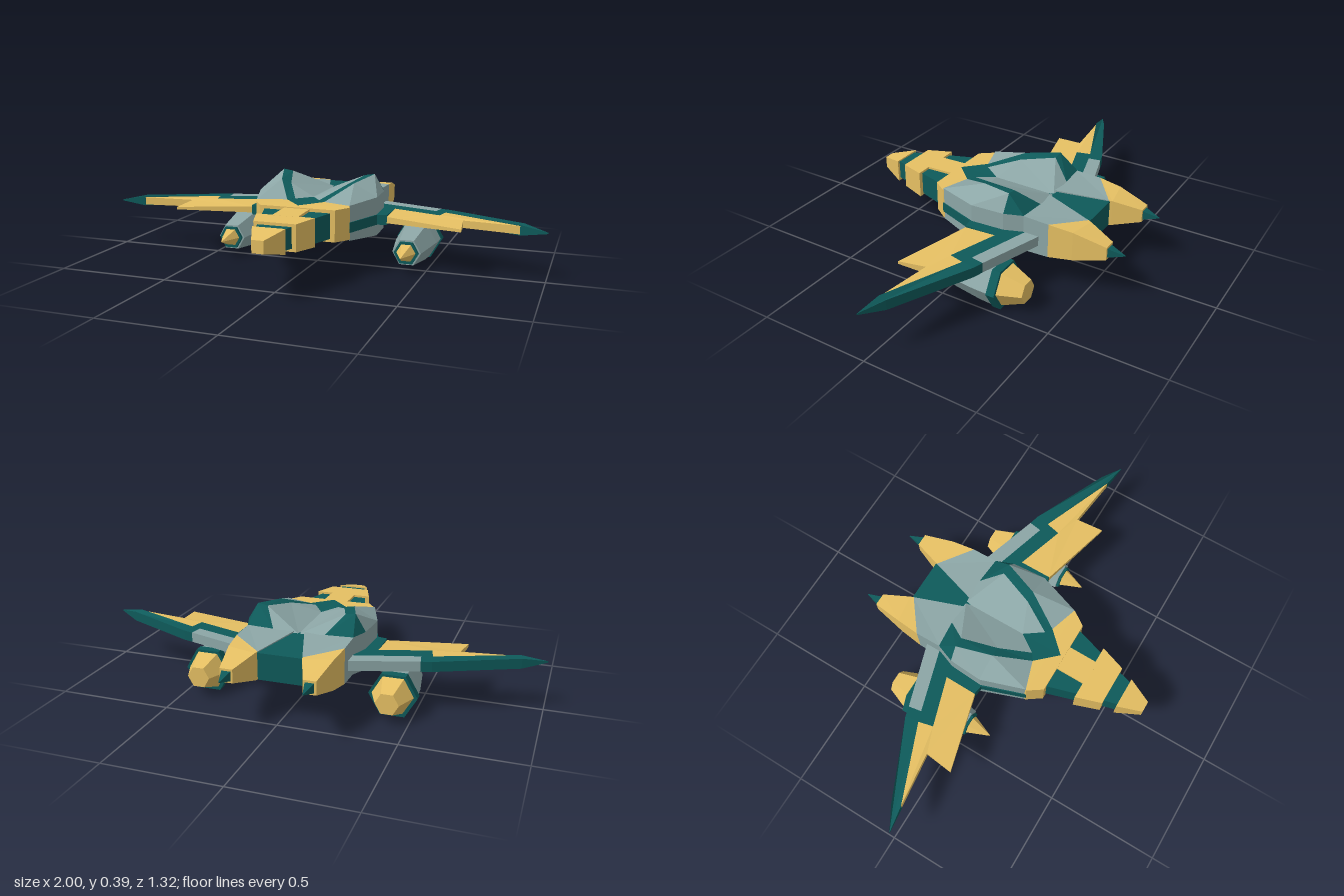
import * as THREE from 'three';

const paint = (color) => new THREE.MeshStandardMaterial({ color, flatShading: true });
const GREY = paint(0x8ca6a6), TEAL = paint(0x0e5a5a), GOLD = paint(0xe6c063);

// Flat-shaded mesh from a list of triangles (each three [x, y, z] corners)
function meshOf(name, material, tris) {
  const g = new THREE.BufferGeometry();
  g.setAttribute('position', new THREE.Float32BufferAttribute(tris.flat(2), 3));
  g.computeVertexNormals();
  const m = new THREE.Mesh(g, material);
  m.name = name;
  return m;
}

// Closed solid, turned outward by its signed volume; s = -1 mirrors it in x
function solid(name, material, tris, s = 1) {
  const v = tris.map((t) => t.map(([x, y, z]) => [x * s, y, z]));
  let vol = 0;
  for (const t of v) {
    const [a, b, c] = t.map((p) => new THREE.Vector3(...p));
    vol += a.dot(b.cross(c));
  }
  if (vol < 0) v.forEach((t) => t.reverse());
  return meshOf(name, material, v);
}

// Solid through a row of convex cross-sections with equal point counts
function loft(name, material, sections, s = 1) {
  const tris = [], n = sections[0].length;
  for (let k = 0; k + 1 < sections.length; k++) {
    const a = sections[k], b = sections[k + 1];
    for (let i = 0; i < n; i++) {
      const j = (i + 1) % n;
      tris.push([a[i], a[j], b[j]], [a[i], b[j], b[i]]);
    }
  }
  const a = sections[0], b = sections[sections.length - 1];
  for (let i = 1; i + 1 < n; i++) tris.push([a[0], a[i + 1], a[i]], [b[0], b[i], b[i + 1]]);
  return solid(name, material, tris, s);
}

// Plate from an outline of [x, z, halfThickness]
function slab(name, material, outline, s = 1, y = 0.212) {
  let pts = outline;
  if (THREE.ShapeUtils.isClockWise(pts.map(([x, z]) => new THREE.Vector2(x, z)))) pts = [...pts].reverse();
  const flat = pts.map(([x, z]) => new THREE.Vector2(x, z));
  const lo = pts.map(([x, z, h]) => [x, y - h, z]);
  const hi = pts.map(([x, z, h]) => [x, y + h, z]);
  const tris = [];
  for (const [a, b, c] of THREE.ShapeUtils.triangulateShape(flat, [])) {
    tris.push([lo[a], lo[b], lo[c]], [hi[c], hi[b], hi[a]]);
  }
  pts.forEach((_, i) => {
    const j = (i + 1) % pts.length;
    tris.push([lo[j], lo[i], hi[i]], [lo[j], hi[i], hi[j]]);
  });
  return solid(name, material, tris, s);
}

// Hull skin: polygons mirrored in x and turned away from the hull centre
function skin(name, material, polys) {
  const tris = [], centre = new THREE.Vector3(0, 0.22, -0.04);
  for (const s of [1, -1]) for (const p of polys) {
    const q = p.map(([x, y, z]) => [x * s, y, z]);
    for (let i = 1; i + 1 < q.length; i++) {
      const t = [q[0], q[i], q[i + 1]];
      const [a, b, c] = t.map((k) => new THREE.Vector3(...k));
      const normal = b.clone().sub(a).cross(c.clone().sub(a));
      const mid = a.add(b).add(c).divideScalar(3).sub(centre);
      tris.push(normal.dot(mid) < 0 ? t.reverse() : t);
    }
  }
  return meshOf(name, material, tris);
}

const rect = (z, w, y0, y1) => [[-w, y0, z], [w, y0, z], [w, y1, z], [-w, y1, z]];
const block = (z, x0, x1, y0, y1) => [[x0, y0, z], [x1, y0, z], [x1, y1, z], [x0, y1, z]];
const hex = (z, r, y, x = 0.416) => Array.from({ length: 6 }, (_, i) => {
  const a = (i * Math.PI) / 3;
  return [x + r * Math.cos(a), y + r * Math.sin(a), z];
});

function createHull() {
  const hull = new THREE.Group();
  hull.name = 'hull';
  // Upper deck: front edge, stripe edges, valley line and rear edge
  const F = [0.21, 0.305, 0.19], W = [0.085, 0.305, 0.15], N = [0, 0.302, 0.24], D = [0, 0.303, 0.05];
  const o0 = [0.22, 0.385, -0.15], o1 = [0.17, 0.365, 0];
  const i0 = [0.175, 0.378, -0.15], i1 = [0.125, 0.35, 0], i2 = [0.055, 0.307, 0.13];
  const C = [0, 0.3, -0.24], R = [0.115, 0.31, -0.24], Q = [0.235, 0.31, -0.23];
  const E0 = [0.265, 0.31, -0.15], E1 = [0.275, 0.31, 0];
  // Belly: outer edge, then a stripe matching the deck
  const bF = [0.21, 0.155, 0.19], b1 = [0.275, 0.14, 0], b0 = [0.265, 0.14, -0.15], bQ = [0.235, 0.145, -0.23];
  const p0 = [0.21, 0.14, -0.15], p1 = [0.165, 0.14, 0], p2 = [0.085, 0.153, 0.17];
  const q0 = [0.17, 0.14, -0.15], q1 = [0.125, 0.14, 0], q2 = [0.045, 0.153, 0.17];
  const m0 = [0, 0.14, -0.13], m1 = [0, 0.14, 0], mF = [0, 0.155, 0.19], mR = [0, 0.145, -0.23];
  hull.add(
    skin('hullPanels', GREY, [
      [C, i0, i1, D], [D, i1, i2], [C, R, i0], [o0, E0, E1, o1], [o1, E1, F, W],
      [E0, E1, b1, b0], [E1, F, bF, b1], [E0, Q, bQ, b0],
      [bF, b1, p1, p2], [b1, b0, p0, p1], [b0, bQ, p0], [q0, q1, m1, m0], [q1, q2, mF, m1],
      [bQ, q0, p0], [bQ, m0, q0], [bF, p2, q2, mF],
    ]),
    skin('hullStripes', TEAL, [
      [i0, o0, o1, i1], [i1, o1, W, i2], [D, i2, W, N], [R, Q, o0, i0], [o0, Q, E0],
      [p0, p1, q1, q0], [p1, p2, q2, q1], [bQ, mR, m0],
    ]),
    loft('tailDeck', TEAL, [rect(-0.18, 0.11, 0.15, 0.298), rect(-0.24, 0.11, 0.15, 0.302), rect(-0.46, 0.095, 0.17, 0.286)]),
  );
  return hull;
}

function createNose() {
  const nose = new THREE.Group();
  nose.name = 'nose';
  nose.add(
    loft('noseCollar', GOLD, [rect(0.1, 0.2, 0.16, 0.298), rect(0.192, 0.212, 0.16, 0.298), rect(0.255, 0.168, 0.16, 0.296)]),
    loft('noseSpine', GOLD, [rect(0.25, 0.056, 0.165, 0.292), rect(0.39, 0.056, 0.168, 0.288)]),
    loft('noseNeck', TEAL, [rect(0.25, 0.148, 0.173, 0.282), rect(0.39, 0.105, 0.175, 0.278)]),
    loft('noseMiddle', GOLD, [rect(0.382, 0.128, 0.168, 0.288), rect(0.495, 0.09, 0.172, 0.284)]),
    loft('noseBand', TEAL, [rect(0.49, 0.074, 0.185, 0.272), rect(0.56, 0.055, 0.187, 0.27)]),
    loft('noseTip', GOLD, [rect(0.552, 0.07, 0.175, 0.277), rect(0.66, 0.025, 0.2, 0.252)]),
  );
  return nose;
}

function createWing(s) {
  const wing = new THREE.Group(), h = 0.022;
  wing.name = s > 0 ? 'leftWing' : 'rightWing';
  wing.add(
    slab('sideStripe', TEAL, [[0.19, 0.195, h], [0.213, 0.193, h], [0.281, 0, h], [0.271, -0.15, h], [0.241, -0.235, h], [0.2, -0.23, h]], s),
    slab('wingRoot', TEAL, [[0.26, 0.01, h], [0.32, 0.0, h], [0.32, -0.15, h], [0.26, -0.17, h]], s),
    slab('wingRearPanel', GREY, [[0.22, -0.305, h], [0.515, -0.212, h], [0.505, -0.155, h], [0.22, -0.24, h]], s),
    // zigzag band that becomes the wing tip
    slab('wingBand', TEAL, [[0.22, -0.24, h], [0.505, -0.155, h], [0.515, -0.212, h], [0.56, -0.2, h], [0.9, -0.045, h],
      [1, 0.01, 0.003], [0.89, -0.005, h], [0.55, -0.14, h], [0.535, -0.075, h], [0.22, -0.175, h]], s),
    // front panel with a forward spur
    slab('wingFrontPanel', GOLD, [[0.3, -0.15, h], [0.535, -0.075, h], [0.55, -0.14, h], [0.9, -0.005, 0.018],
      [0.645, -0.035, 0.016], [0.66, 0.09, 0.006], [0.32, 0.0, 0.014], [0.3, 0, 0.014]], s),
  );
  return wing;
}

function createTailPod(s) {
  const pod = new THREE.Group();
  pod.name = s > 0 ? 'leftTailPod' : 'rightTailPod';
  // slanted seam between the root and the rear of the pod
  const seam = [[0.095, 0.17, -0.455], [0.235, 0.15, -0.345], [0.235, 0.305, -0.345], [0.095, 0.29, -0.455]];
  pod.add(
    loft('podRoot', GREY, [block(-0.225, 0.02, 0.235, 0.145, 0.309), seam], s),
    loft('podRear', GOLD, [seam,
      [[0.1, 0.17, -0.47], [0.224, 0.165, -0.45], [0.224, 0.295, -0.45], [0.1, 0.288, -0.47]],
      block(-0.59, 0.145, 0.2, 0.2, 0.258)], s),
    loft('podSpike', TEAL, [block(-0.585, 0.152, 0.193, 0.207, 0.25), block(-0.66, 0.17, 0.172, 0.227, 0.229)], s),
  );
  return pod;
}

function createEngine(s) {
  const engine = new THREE.Group();
  engine.name = s > 0 ? 'leftEngine' : 'rightEngine';
  engine.add(
    loft('engineSpike', GOLD, [hex(0.13, 0.002, 0.081), hex(0.03, 0.043, 0.081)], s),
    loft('engineFrontRing', TEAL, [hex(0.032, 0.055, 0.08), hex(0.015, 0.055, 0.08)], s),
    loft('engineBody', GREY, [hex(0.02, 0.063, 0.08), hex(-0.16, 0.093, 0.089), hex(-0.23, 0.099, 0.092)], s),
    loft('engineRearRing', TEAL, [hex(-0.225, 0.104, 0.09), hex(-0.263, 0.104, 0.09)], s),
    loft('engineNozzle', GOLD, [hex(-0.26, 0.09, 0.093), hex(-0.36, 0.05, 0.093)], s),
  );
  return engine;
}

export function createModel() {
  const model = new THREE.Group();
  model.name = 'spacecraft';
  model.add(createHull(), createNose());
  for (const s of [1, -1]) model.add(createWing(s), createTailPod(s), createEngine(s));
  return model;
}
